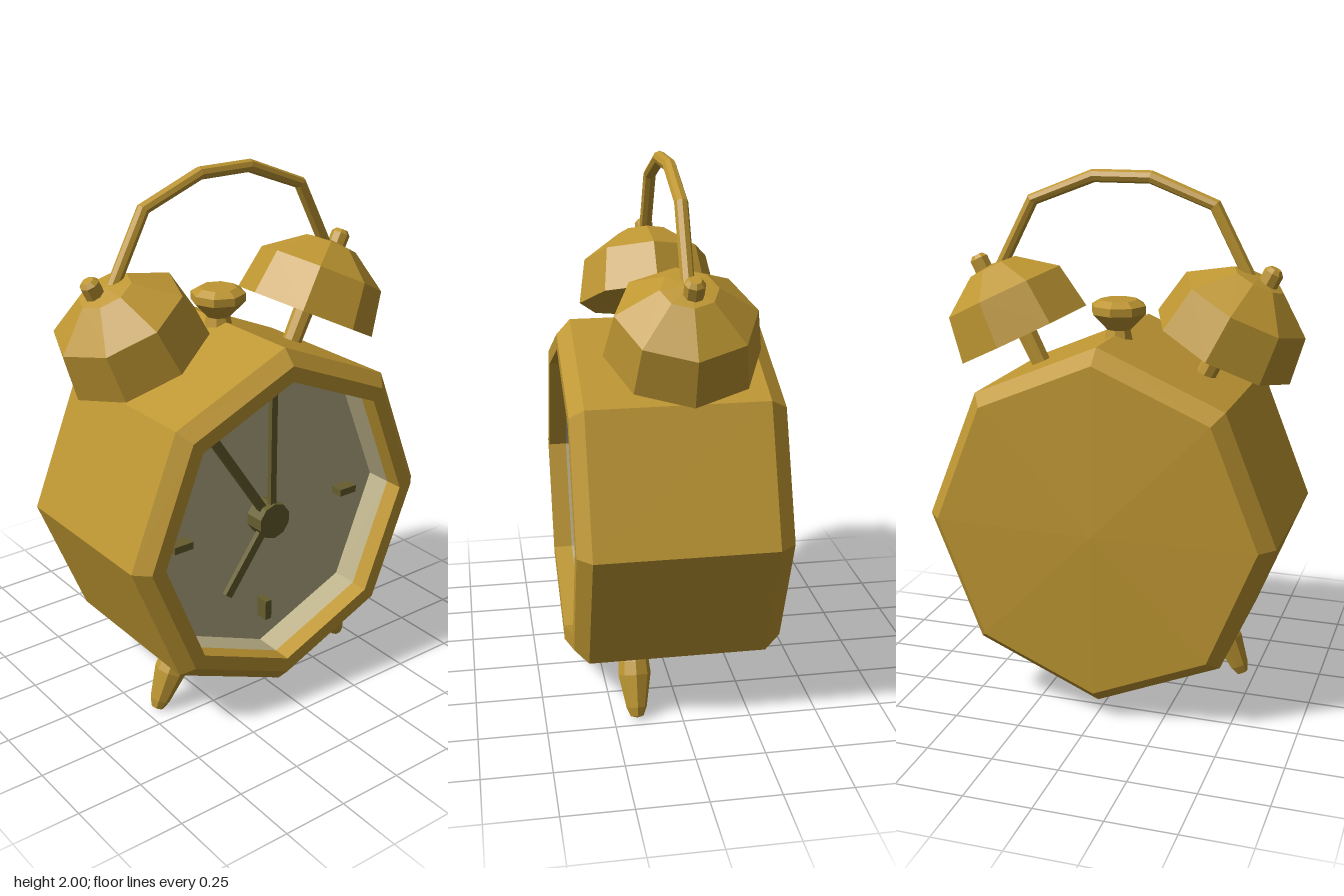
import * as THREE from 'three';

const gold = new THREE.MeshStandardMaterial({ color: 0xbe9632 });
gold.name = 'antique gold';
const cream = new THREE.MeshStandardMaterial({ color: 0xbbb088 });
cream.name = 'dial cream';
const olive = new THREE.MeshStandardMaterial({ color: 0x665d2e });
olive.name = 'dark olive';

const CENTER_Y = 0.735, DIAL_Y = 0.72;

// Faceted mesh with a name
function part(name, geometry, material) {
  const flat = geometry.index ? geometry.toNonIndexed() : geometry;
  flat.computeVertexNormals();
  const mesh = new THREE.Mesh(flat, material);
  mesh.name = name;
  return mesh;
}

// Eight-sided turned shape from [radius, height] pairs
function turned(profile, sides = 8) {
  return new THREE.LatheGeometry(profile.map(([r, y]) => new THREE.Vector2(r, y)), sides);
}

// Octagonal case shapes turned about the z axis
function caseShape(name, profile, material) {
  const geometry = turned(profile).rotateX(Math.PI / 2).scale(1, 1.03, 1);
  const mesh = part(name, geometry, material);
  mesh.position.y = CENTER_Y;
  return mesh;
}

// Flat bar on the dial from one point to another
function bar(name, x0, y0, x1, y1, width, z, depth) {
  const length = Math.hypot(x1 - x0, y1 - y0);
  const mesh = part(name, new THREE.BoxGeometry(width, length, depth), olive);
  mesh.position.set((x0 + x1) / 2, (y0 + y1) / 2, z);
  mesh.rotation.z = -Math.atan2(x1 - x0, y1 - y0);
  return mesh;
}

// Path with sharp corners, sampled exactly at its points
class CornerPath extends THREE.Curve {
  constructor(points) {
    super();
    this.points = points;
  }
  getPointAt(u) {
    return this.points[Math.round(u * (this.points.length - 1))].clone();
  }
  getPoint(t) {
    return this.getPointAt(t);
  }
  getTangentAt(u) {
    const p = this.points, last = p.length - 1, i = Math.round(u * last);
    return p[Math.min(i + 1, last)].clone().sub(p[Math.max(i - 1, 0)]).normalize();
  }
}

export function createModel() {
  const model = new THREE.Group();
  model.name = 'alarmClock';

  // Case with chamfered rims, slightly domed back and recessed dial
  model.add(caseShape('case', [
    [0, -0.393], [0.607, -0.372], [0.66, -0.31], [0.66, 0.34],
    [0.607, 0.39], [0.55, 0.39], [0.55, 0.32],
  ], gold));
  model.add(caseShape('dial', [[0.55, 0.32], [0.55, 0.22], [0, 0.22]], cream));

  // Hands, hub and hour marks
  model.add(bar('minuteHand', 0, DIAL_Y, 0, 1.24, 0.026, 0.28, 0.02));
  model.add(bar('alarmHand', 0, DIAL_Y, -0.265, 1.115, 0.034, 0.265, 0.02));
  model.add(bar('hourHand', 0, DIAL_Y, -0.195, 0.455, 0.034, 0.265, 0.02));
  const hub = part('handHub', new THREE.CylinderGeometry(0.07, 0.07, 0.08, 10).rotateX(Math.PI / 2), olive);
  hub.position.set(0, DIAL_Y, 0.26);
  model.add(hub);
  for (const s of [-1, 1]) {
    model.add(bar('hourMark', s * 0.35, DIAL_Y, s * 0.43, DIAL_Y, 0.028, 0.245, 0.05));
  }
  model.add(bar('hourMark', 0, 0.285, 0, 0.365, 0.028, 0.245, 0.05));

  // Winding knob on top
  const knob = part('topKnob', turned([
    [0.06, 1.36], [0.045, 1.43], [0.103, 1.49], [0.103, 1.52], [0.07, 1.54], [0, 1.54],
  ]), gold);
  knob.position.z = -0.05;
  model.add(knob);

  // Bells with posts and finials, and the front feet
  for (const s of [-1, 1]) {
    const tilt = -s * 0.46;

    const bell = part('bell', turned([
      [0, 0.02], [0.275, 0], [0.245, 0.175], [0.1, 0.278], [0, 0.29],
    ]), gold);
    bell.position.set(s * 0.385, 1.38, -0.01);
    bell.rotation.z = tilt;
    model.add(bell);

    const post = part('bellPost', new THREE.CylinderGeometry(0.04, 0.036, 0.26, 8), gold);
    post.position.set(s * 0.345, 1.32, -0.01);
    post.rotation.z = tilt;
    model.add(post);

    const finial = part('bellFinial', turned([
      [0.036, -0.07], [0.036, 0.03], [0.022, 0.045], [0, 0.045],
    ]), gold);
    finial.position.set(s * 0.55, 1.632, -0.018);
    finial.rotation.z = tilt;
    model.add(finial);

    const foot = part('foot', turned([
      [0, 0], [0.024, 0.006], [0.038, 0.04], [0.06, 0.16], [0.056, 0.21], [0.036, 0.3],
    ]), gold);
    foot.position.set(s * 0.455, 0.008, 0.165);
    foot.rotation.z = s * 0.42;
    model.add(foot);
  }

  // Carrying handle arched between the bells
  const half = [[0.515, 1.56], [0.345, 1.885], [0.108, 1.977]];
  const arch = [
    ...half.map(([x, y]) => new THREE.Vector3(-x, y, -0.01)),
    ...half.slice().reverse().map(([x, y]) => new THREE.Vector3(x, y, -0.01)),
  ];
  model.add(part('handle', new THREE.TubeGeometry(new CornerPath(arch), arch.length - 1, 0.024, 8), gold));

  return model;
}
